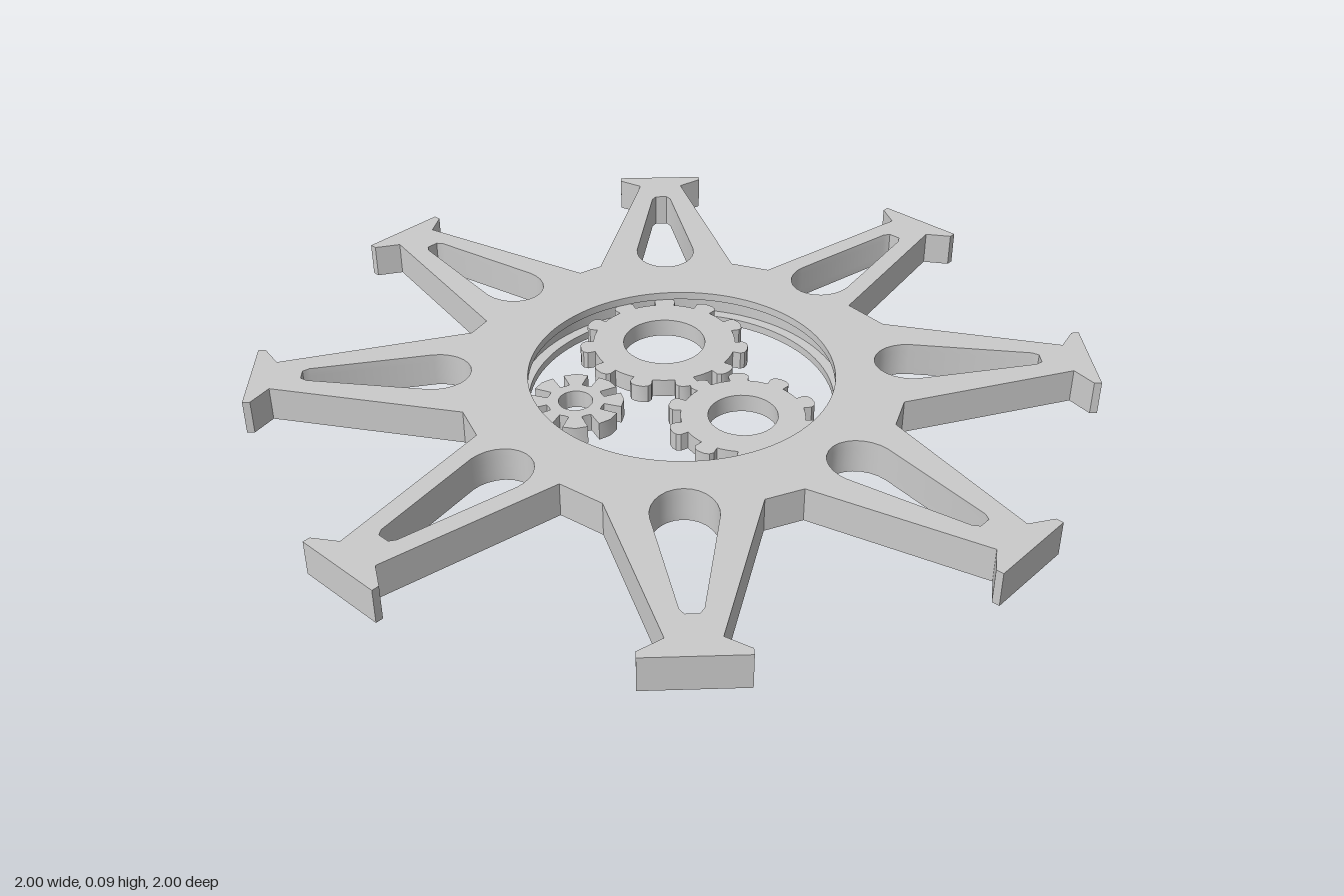
import * as THREE from 'three';
import { toCreasedNormals } from 'three/addons/utils/BufferGeometryUtils.js';

const HEIGHT = 0.085;
const GEAR_BOTTOM = 0.02, GEAR_TOP = 0.065;
const HUB_Z = 0.025;      // the bore sits slightly toward the front
const BORE = 0.364, GROOVE = 0.39;

const material = new THREE.MeshStandardMaterial({ color: 0xcccccc });

// Turns (along, across) coordinates of a spoke into plan coordinates.
function turn(points, angle) {
  const c = Math.cos(angle), s = Math.sin(angle);
  return points.map(([u, v]) => new THREE.Vector2(u * c - v * s, u * s + v * c));
}

function circle(x, y, r) {
  const path = new THREE.Path();
  path.absarc(x, y, r, 0, Math.PI * 2, true);
  return path;
}

// Teardrop opening: blunt outer end, round inner end
function slotPoints() {
  const points = [[0.865, 0.025], [0.88, 0.015], [0.88, -0.015], [0.865, -0.025]];
  const steps = 14;
  for (let i = 0; i <= steps; i++) {
    const a = -Math.PI * 0.46 - (i / steps) * Math.PI * 1.08;
    points.push([0.565 + 0.085 * Math.cos(a), 0.075 * Math.sin(a)]);
  }
  return points;
}

// Hub and spokes in one outline, with a groove inside the bore
function makeWheel() {
  const outline = [], holes = [];
  for (let i = 0; i < 8; i++) {
    const angle = (i / 8) * Math.PI * 2;
    const half = i % 2 ? 0.172 : i % 4 ? 0.163 : 0.133;
    const base = 0.507 - HUB_Z * Math.sin(angle);
    const side = [[base, half], [0.947, 0.057], [0.982, 0.112], [1, 0.112]];
    const near = side.map(([u, v]) => [u, -v]);
    outline.push(...turn([...near, ...side.reverse()], angle));
    holes.push(new THREE.Path(turn(slotPoints(), angle)));
  }
  const shape = new THREE.Shape(outline);
  shape.holes.push(circle(0, -HUB_Z, BORE), ...holes);

  const geometry = new THREE.ExtrudeGeometry(shape, {
    depth: 5, steps: 5, bevelEnabled: false, curveSegments: 48,
  });
  // Place the layers and push the middle ones of the bore outward
  const levels = [0, GEAR_BOTTOM, GEAR_BOTTOM, GEAR_TOP, GEAR_TOP, HEIGHT];
  const position = geometry.attributes.position;
  for (let i = 0; i < position.count; i++) {
    const layer = Math.round(position.getZ(i));
    const x = position.getX(i), y = position.getY(i) + HUB_Z;
    const inBore = Math.hypot(x, y) < BORE + 0.005;
    const k = inBore && (layer === 2 || layer === 3) ? GROOVE / BORE : 1;
    position.setXYZ(i, x * k, y * k - HUB_Z, levels[layer]);
  }
  return finish(geometry, 'spokedWheel');
}

function finish(geometry, name) {
  geometry.rotateX(-Math.PI / 2);
  const mesh = new THREE.Mesh(toCreasedNormals(geometry, 0.5), material);
  mesh.name = name;
  return mesh;
}

// profile: one tooth as [radius, angle as a fraction of the pitch]
function makeGear({ name, x, z, teeth, hole, phase, profile }) {
  const points = [];
  const pitch = (Math.PI * 2) / teeth;
  for (let i = 0; i < teeth; i++) {
    for (const [r, f] of profile) {
      const a = phase + (i + f) * pitch;
      points.push(new THREE.Vector2(r * Math.cos(a), r * Math.sin(a)));
    }
  }
  const shape = new THREE.Shape(points);
  shape.holes.push(circle(0, 0, hole));
  const geometry = new THREE.ExtrudeGeometry(shape, {
    depth: GEAR_TOP - GEAR_BOTTOM, bevelEnabled: false, curveSegments: 20,
  });
  const gear = finish(geometry, name);
  gear.position.set(x, GEAR_BOTTOM, z);
  return gear;
}

// Short tooth with rounded corners
const roundTooth = (root, tip) => [
  [root, -0.5], [root, -0.36], [root, -0.23], [root + (tip - root) * 0.6, -0.24],
  [tip - 0.004, -0.18], [tip, -0.08], [tip, 0.08], [tip - 0.004, 0.18],
  [root + (tip - root) * 0.6, 0.24], [root, 0.23], [root, 0.36],
];

export function createModel() {
  const model = new THREE.Group();
  model.name = 'gearWheel';
  model.add(makeWheel());

  const gears = new THREE.Group();
  gears.name = 'innerGears';
  gears.add(
    makeGear({ name: 'largeGear', x: 0.09, z: -0.115, teeth: 11, hole: 0.1,
      phase: 0.17, profile: roundTooth(0.174, 0.206) }),
    makeGear({ name: 'mediumGear', x: -0.02, z: 0.235, teeth: 10, hole: 0.081,
      phase: 0.15, profile: roundTooth(0.144, 0.176) }),
    // Small gear with teeth that flare outward
    makeGear({ name: 'smallGear', x: -0.24, z: -0.09, teeth: 8, hole: 0.04,
      phase: 0.0, profile: [[0.066, -0.5], [0.068, -0.28], [0.11, -0.34],
        [0.113, 0], [0.11, 0.34], [0.068, 0.28]] }),
  );
  model.add(gears);
  return model;
}
